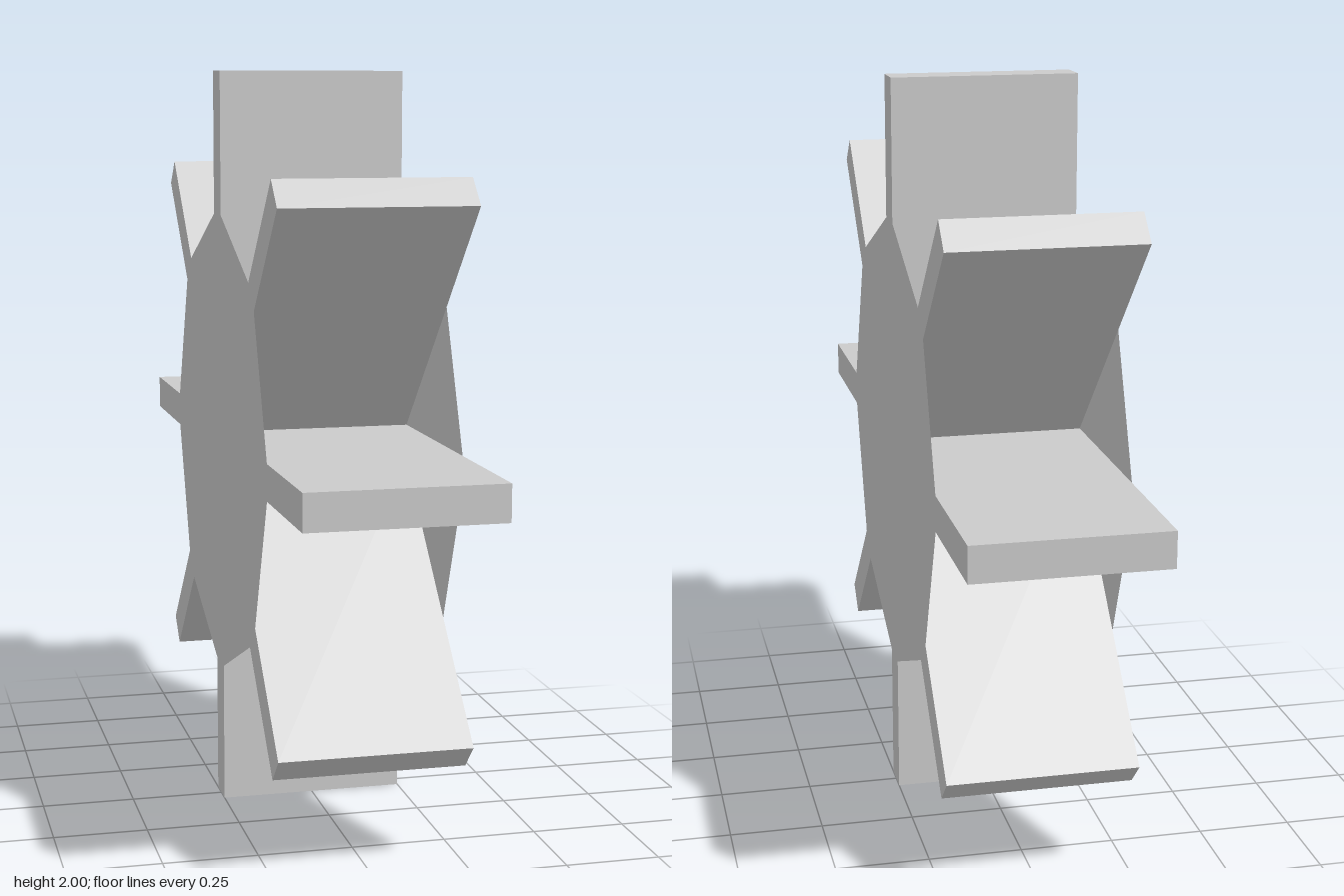
import * as THREE from 'three';

const BLADES = 8, WIDTH = 0.5, TIP = 1, ROOT = 0.62, HALF = 0.047;
const STEP = (Math.PI * 2) / BLADES;
const CREASE = HALF / Math.sin(STEP / 2); // where neighbouring blades meet near the axis

// point at distance r along blade i, offset s sideways
function onBlade(i, r, s) {
  const c = Math.cos(i * STEP), n = Math.sin(i * STEP);
  return new THREE.Vector2(r * c - s * n, r * n + s * c);
}

function crease(i) {
  const a = (i + 0.5) * STEP;
  return new THREE.Vector2(CREASE * Math.cos(a), CREASE * Math.sin(a));
}

export function createModel() {
  const wheel = new THREE.Group();
  wheel.name = 'paddleWheel';
  const grey = new THREE.MeshStandardMaterial({ color: 0xcccccc, flatShading: true });
  const thin = new THREE.MeshStandardMaterial({ color: 0xcccccc, flatShading: true, side: THREE.DoubleSide });

  // Paddles: a star of blades joined at the axis, open around the rim
  const star = [];
  for (let i = 0; i < BLADES; i++) {
    star.push(onBlade(i, TIP, -HALF), onBlade(i, TIP, HALF), crease(i));
  }
  const paddleGeo = new THREE.ExtrudeGeometry(new THREE.Shape(star), { depth: WIDTH, bevelEnabled: false });
  paddleGeo.translate(0, 0, -WIDTH / 2);
  paddleGeo.rotateY(Math.PI / 2);
  const paddles = new THREE.Mesh(paddleGeo, grey);
  paddles.name = 'paddles';
  wheel.add(paddles);

  // Side plates: thin webs closing the gaps between blades on both sides
  const webs = [];
  for (let i = 0; i < BLADES; i++) {
    webs.push(new THREE.Shape([crease(i), onBlade(i, ROOT, HALF), onBlade(i + 1, ROOT, -HALF)]));
  }
  for (const side of [1, -1]) {
    const plate = new THREE.Mesh(new THREE.ShapeGeometry(webs), thin);
    plate.name = side > 0 ? 'leftSidePlate' : 'rightSidePlate';
    plate.rotation.y = side * Math.PI / 2;
    plate.position.x = side * WIDTH / 2;
    wheel.add(plate);
  }

  wheel.position.y = TIP;
  const model = new THREE.Group();
  model.name = 'model';
  model.add(wheel);
  return model;
}
